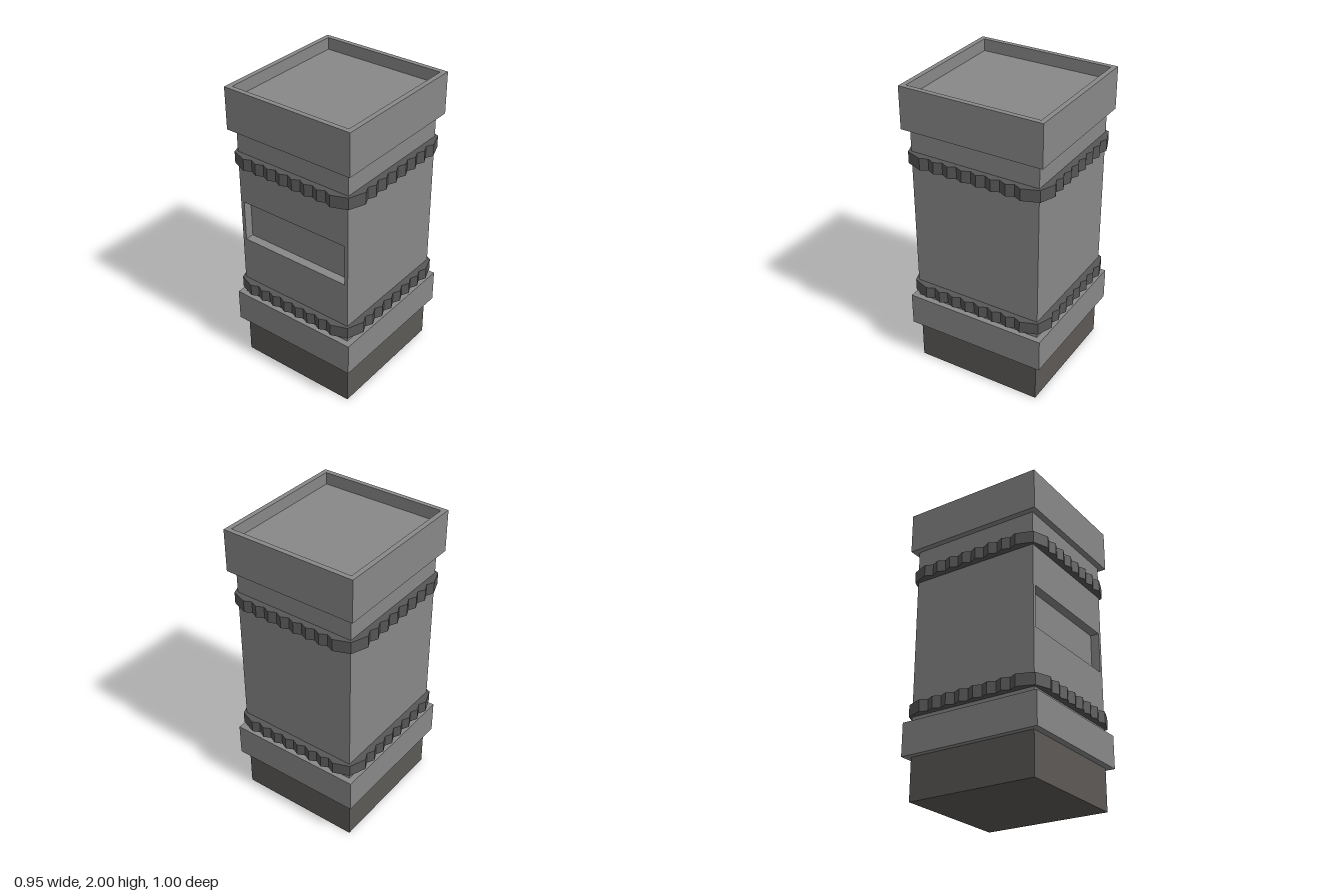
import * as THREE from 'three';

export function createModel() {
  const model = new THREE.Group();
  const shell = new THREE.MeshStandardMaterial({ color: 0x888888 });
  shell.name = 'shell grey';
  const plinth = new THREE.MeshStandardMaterial({ color: 0x5c5956 });
  plinth.name = 'plinth warm grey';
  const trim = new THREE.MeshStandardMaterial({ color: 0x575757 });
  trim.name = 'trim dark grey';

  const add = (name, geometry, material) => {
    const mesh = new THREE.Mesh(geometry, material);
    mesh.name = name;
    model.add(mesh);
    return mesh;
  };
  // Box given by half width, half depth and its bottom and top heights
  const block = (name, hx, hz, y0, y1, material) => {
    const mesh = add(name, new THREE.BoxGeometry(hx * 2, y1 - y0, hz * 2), material);
    mesh.position.y = (y0 + y1) / 2;
    return mesh;
  };
  const rect = (x0, y0, x1, y1) => [[x0, y0], [x1, y0], [x1, y1], [x0, y1]].map(p => new THREE.Vector2(...p));
  // Plate with one hole, extruded along +z
  const frame = (outer, hole, depth) => {
    const shape = new THREE.Shape(outer);
    shape.holes.push(new THREE.Path(hole));
    return new THREE.ExtrudeGeometry(shape, { depth, bevelEnabled: false });
  };
  // The same, laid flat with its bottom at y
  const ring = (outer, hole, y, height) =>
    frame(outer, hole, height).rotateX(-Math.PI / 2).translate(0, y, 0);

  // Plinth and lower collar
  block('base', 0.42, 0.44, 0, 0.28, plinth);
  block('lowerCollar', 0.459, 0.485, 0.28, 0.5, shell);

  // Column: solid core behind a front panel with a recessed slot
  const slotDepth = 0.06;
  const core = block('columnCore', 0.42, (0.89 - slotDepth) / 2, 0.5, 1.72, shell);
  core.position.z = -slotDepth / 2;
  add('slottedFront', frame(rect(-0.42, 0.5, 0.42, 1.72), rect(-0.395, 0.93, 0.395, 1.21), slotDepth), shell)
    .position.z = 0.445 - slotDepth;

  // Top cap with a raised rim around a sunken tray
  block('capBody', 0.459, 0.485, 1.72, 1.92, shell);
  add('capRim', ring(rect(-0.459, -0.485, 0.459, 0.485), rect(-0.426, -0.452, 0.426, 0.452), 1.92, 0.08), shell);

  // Toothed outline: eight teeth on each side, chamfered at the corners
  const outline = [];
  const side = (half, peak, valley, place) => {
    for (let i = 0; i < 15; i++) {
      const along = -half + (2 * half * i) / 14;
      outline.push(new THREE.Vector2(...place(along, i % 2 ? valley : peak)));
    }
  };
  const corner = (sx, sy) => outline.push(new THREE.Vector2(0.434 * sx, 0.46 * sy));
  side(0.328, 0.5, 0.478, (a, r) => [a, -r]);
  corner(1, -1);
  side(0.35, 0.475, 0.451, (a, r) => [r, a]);
  corner(1, 1);
  side(0.328, 0.5, 0.478, (a, r) => [-a, r]);
  corner(-1, 1);
  side(0.35, 0.475, 0.451, (a, r) => [-r, -a]);
  corner(-1, -1);

  const inner = rect(-0.415, -0.44, 0.415, 0.44);
  add('lowerToothedBand', ring(outline, inner, 0.54, 0.08), trim);
  add('upperToothedBand', ring(outline, inner, 1.487, 0.08), trim);

  return model;
}
